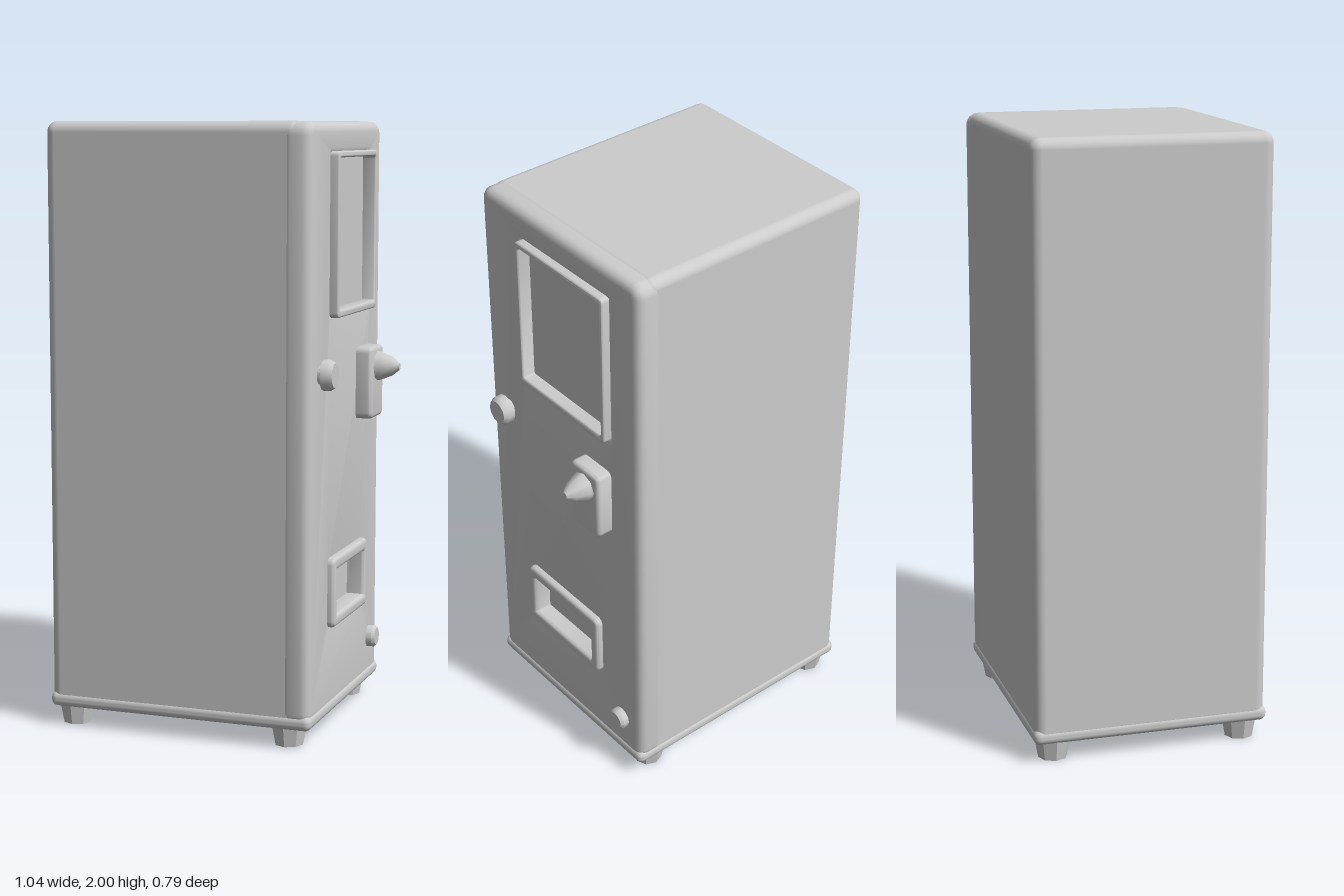
import * as THREE from 'three';
import { RoundedBoxGeometry } from 'three/addons/geometries/RoundedBoxGeometry.js';
import { toCreasedNormals } from 'three/addons/utils/BufferGeometryUtils.js';

const grey = new THREE.MeshStandardMaterial({ color: 0xcccccc });
grey.name = 'light grey';

// Rounded rectangle outline; s runs along -z once the part is turned to face +x
function roundRect(target, s0, s1, y0, y1, r) {
  target.moveTo(s0 + r, y0);
  target.lineTo(s1 - r, y0);
  target.quadraticCurveTo(s1, y0, s1, y0 + r);
  target.lineTo(s1, y1 - r);
  target.quadraticCurveTo(s1, y1, s1 - r, y1);
  target.lineTo(s0 + r, y1);
  target.quadraticCurveTo(s0, y1, s0, y1 - r);
  target.lineTo(s0, y0 + r);
  target.quadraticCurveTo(s0, y0, s0 + r, y0);
  return target;
}

// Panel in the y-z plane spanning x0..x1, with optional holes and rounded edges
function panel(x0, x1, rect, r, bevel, holes = []) {
  const [s0, s1, y0, y1] = rect;
  const b = bevel;
  const shape = roundRect(new THREE.Shape(), s0 + b, s1 - b, y0 + b, y1 - b, r);
  for (const [h0, h1, k0, k1] of holes) {
    shape.holes.push(roundRect(new THREE.Path(), h0 - b, h1 + b, k0 - b, k1 + b, 0.015));
  }
  const geo = new THREE.ExtrudeGeometry(shape, {
    depth: x1 - x0 - 2 * b, bevelThickness: b, bevelSize: b, bevelSegments: 4, curveSegments: 4,
  });
  geo.rotateY(Math.PI / 2);
  geo.translate(x0 + b, 0, 0);
  return toCreasedNormals(geo, 0.7);
}

// Turned part whose axis points along +x; profile is [radius, x] pairs
function turned(profile, y, z, sides = 12) {
  const geo = new THREE.LatheGeometry(profile.map(([r, x]) => new THREE.Vector2(r, x)), sides);
  geo.rotateZ(-Math.PI / 2);
  geo.translate(0, y, z);
  return toCreasedNormals(geo, 0.8);
}

export function createModel() {
  const group = new THREE.Group();
  const add = (name, geo, x = 0, y = 0, z = 0) => {
    const mesh = new THREE.Mesh(geo, grey);
    mesh.name = name;
    mesh.position.set(x, y, z);
    group.add(mesh);
    return mesh;
  };

  // Cabinet shell and the slightly wider rail around its foot
  add('cabinet', new RoundedBoxGeometry(0.865, 1.93, 0.78, 4, 0.035), -0.0825, 1.035, 0);
  add('baseRail', new RoundedBoxGeometry(0.912, 0.05, 0.79, 3, 0.022), -0.062, 0.088, 0);

  // Door with openings for the window and the tray
  const windowHole = [-0.165, 0.235, 1.4, 1.885];
  const trayHole = [-0.16, 0.15, 0.4, 0.55];
  add('door', panel(0.29, 0.388, [-0.392, 0.392, 0.075, 1.998], 0.015, 0.03, [windowHole, trayHole]));

  // Window: slim raised surround and sunken pane
  add('windowFrame', panel(0.34, 0.415, [-0.182, 0.252, 1.375, 1.905], 0.01, 0.006, [windowHole]));
  add('windowPane', new THREE.BoxGeometry(0.03, 0.5, 0.415), 0.355, 1.642, -0.035);

  // Delivery tray surround, its recess ends on the cabinet shell
  add('trayFrame', panel(0.33, 0.412, [-0.195, 0.19, 0.36, 0.592], 0.01, 0.013, [trayHole]));

  // Selector knob
  add('knob', turned([[0, 0.37], [0.03, 0.37], [0.03, 0.395], [0.05, 0.402], [0.05, 0.425],
    [0.04, 0.44], [0, 0.44]], 1.205, 0.29));

  // Coin plate with a pointed crank handle
  add('coinPlate', panel(0.37, 0.443, [0.11, 0.253, 1.01, 1.252], 0.008, 0.014));
  add('coinHandle', turned([[0, 0.42], [0.055, 0.42], [0.048, 0.455], [0.032, 0.495],
    [0.012, 0.52], [0, 0.52]], 1.185, -0.182, 8));

  // Coin return button low on the door
  add('returnButton', turned([[0, 0.37], [0.038, 0.37], [0.038, 0.408], [0.03, 0.418], [0, 0.418]], 0.22, -0.29));

  // Four stubby feet
  const footGeo = toCreasedNormals(new THREE.CylinderGeometry(0.065, 0.048, 0.09, 8), 0.5);
  for (const x of [-0.45, 0.3]) {
    for (const z of [-0.32, 0.32]) add('foot', footGeo, x, 0.045, z);
  }
  return group;
}
